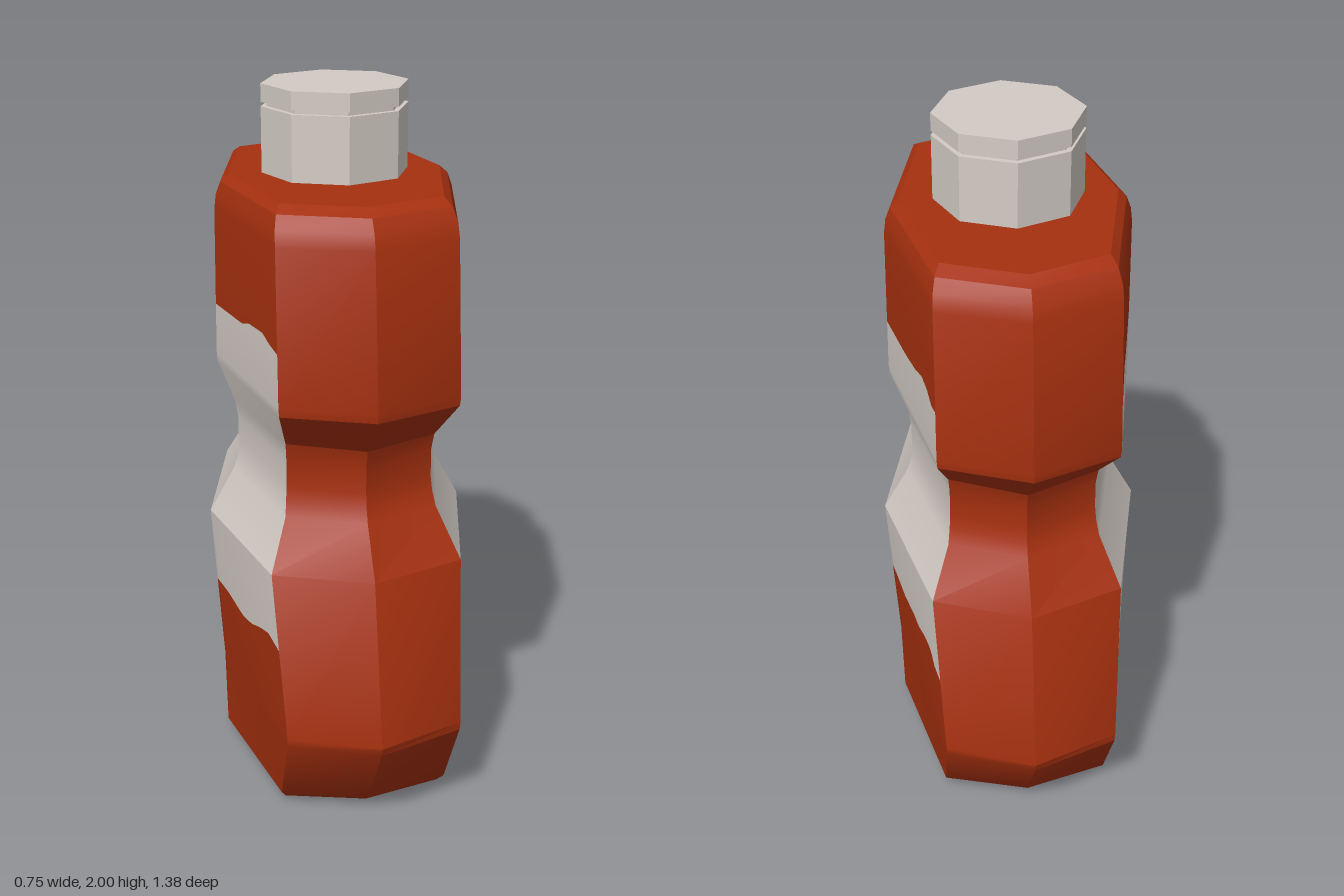
import * as THREE from 'three';
import { toCreasedNormals } from 'three/addons/utils/BufferGeometryUtils.js';

// Body cross-sections, bottom to top: [y, side x, corner x, corner z, end z]
const RINGS = [
  [0.03, 0, 0, 0, 0],
  [0.03, 0.225, 0.16, 0.30, 0.355],
  [0.0, 0.25, 0.18, 0.335, 0.39],
  [0.0, 0.295, 0.21, 0.385, 0.445],
  [0.012, 0.32, 0.225, 0.415, 0.475],
  [0.04, 0.338, 0.24, 0.44, 0.51],
  [0.28, 0.343, 0.244, 0.585, 0.68],
  [0.305, 0.345, 0.245, 0.588, 0.688],
  [0.75, 0.375, 0.265, 0.47, 0.575],
  [0.88, 0.303, 0.212, 0.385, 0.475],
  [0.92, 0.291, 0.206, 0.363, 0.457],
  [0.96, 0.287, 0.203, 0.355, 0.45],
  [1.04, 0.287, 0.203, 0.355, 0.45],
  [1.09, 0.295, 0.207, 0.37, 0.468],
  [1.215, 0.343, 0.243, 0.496, 0.592],
  [1.24, 0.345, 0.245, 0.499, 0.597],
  [1.66, 0.341, 0.242, 0.455, 0.543],
  [1.70, 0.336, 0.24, 0.44, 0.53],
  [1.735, 0.323, 0.232, 0.413, 0.502],
  [1.755, 0.30, 0.218, 0.375, 0.462],
  [1.755, 0, 0, 0, 0],
];
const LOW = 7, HIGH = 15; // rings just below the two edges of the grip band

// Ragged band edges as [z, y] points
const LOW_EDGE = [[-0.53, 0.51], [-0.47, 0.515], [-0.44, 0.545], [-0.38, 0.545], [-0.3, 0.525], [-0.25, 0.53],
  [-0.15, 0.515], [-0.05, 0.525], [0.1, 0.525], [0.22, 0.51], [0.3, 0.52], [0.38, 0.545], [0.45, 0.56], [0.53, 0.545]];
const HIGH_EDGE = [[-0.5, 1.38], [-0.44, 1.38], [-0.42, 1.40], [-0.36, 1.415], [-0.3, 1.40], [-0.2, 1.39],
  [0, 1.385], [0.22, 1.39], [0.27, 1.405], [0.38, 1.41], [0.42, 1.395], [0.5, 1.38]];

function edgeY(points, z) {
  let i = 1;
  while (i < points.length - 1 && points[i][0] < z) i++;
  const [z0, y0] = points[i - 1], [z1, y1] = points[i];
  return THREE.MathUtils.lerp(y0, y1, THREE.MathUtils.clamp((z - z0) / (z1 - z0), 0, 1));
}

// Cross-section at height y between rings i and i + 1
function between(i, y) {
  const a = RINGS[i], b = RINGS[i + 1], k = (y - a[0]) / (b[0] - a[0]);
  return a.map((v, j) => v + (b[j] - v) * k);
}

// Column of points up one side panel; t runs from -1 (back) to 1 (front)
function sideColumn(sign, t) {
  const rows = [];
  RINGS.forEach((ring, i) => {
    rows.push(ring);
    if (i === LOW) rows.push(between(i, edgeY(LOW_EDGE, t * 0.53)));
    if (i === HIGH) rows.push(between(i, edgeY(HIGH_EDGE, t * 0.485)));
  });
  return rows.map(([y, sx, cx, cz]) => [sign * (sx + (cx - sx) * Math.abs(t)), y, t * cz]);
}

// Join neighbouring columns; colourOf picks the triangle list for each row
function strip(columns, lists, colourOf) {
  for (let c = 0; c < columns.length - 1; c++) {
    const p = columns[c], q = columns[c + 1];
    for (let r = 0; r < p.length - 1; r++) {
      const out = lists[colourOf(r)];
      if (r > 0) out.push(...p[r], ...q[r], ...q[r + 1]);
      if (r < p.length - 2) out.push(...p[r], ...q[r + 1], ...p[r + 1]);
      else out.push();
    }
  }
}

function bottleBody(red, grey) {
  const lists = [[], []];
  const N = 52;
  const bandRow = (r) => (r > LOW && r <= HIGH + 1 ? 1 : 0);
  for (const s of [1, -1]) {
    // broad side panel carrying the band
    const side = [];
    for (let i = 0; i <= N; i++) side.push(sideColumn(s, s * (1 - (2 * i) / N)));
    strip(side, lists, bandRow);
    // two narrow facets at the front or back
    const end = [-1, 0, 1].map((u) =>
      RINGS.map(([y, , cx, cz, ez]) => [s * u * cx, y, s * (u ? cz : ez)]));
    strip(end, lists, () => 0);
  }
  const geo = new THREE.BufferGeometry();
  geo.setAttribute('position', new THREE.Float32BufferAttribute([...lists[0], ...lists[1]], 3));
  const n = lists[0].length / 3;
  const creased = toCreasedNormals(geo, 0.4);
  creased.clearGroups();
  creased.addGroup(0, n, 0);
  creased.addGroup(n, lists[1].length / 3, 1);
  const mesh = new THREE.Mesh(creased, [red, grey]);
  mesh.name = 'bottleBody';
  return mesh;
}

export function createModel() {
  const group = new THREE.Group();
  group.name = 'bottle';
  const red = new THREE.MeshStandardMaterial({ color: 0xa5300f });
  red.name = 'rust red';
  const grey = new THREE.MeshStandardMaterial({ color: 0xd3cbc5 });
  grey.name = 'warm grey';

  group.add(bottleBody(red, grey));

  // Eight-sided neck, groove and lid
  const parts = [['neck', 0.207, 1.74, 1.938], ['neckGroove', 0.19, 1.93, 1.955], ['lid', 0.207, 1.95, 2.0]];
  for (const [name, radius, y0, y1] of parts) {
    const geo = toCreasedNormals(new THREE.CylinderGeometry(radius, radius, y1 - y0, 8), 0.3);
    const mesh = new THREE.Mesh(geo, grey);
    mesh.name = name;
    mesh.position.y = (y0 + y1) / 2;
    group.add(mesh);
  }
  return group;
}
